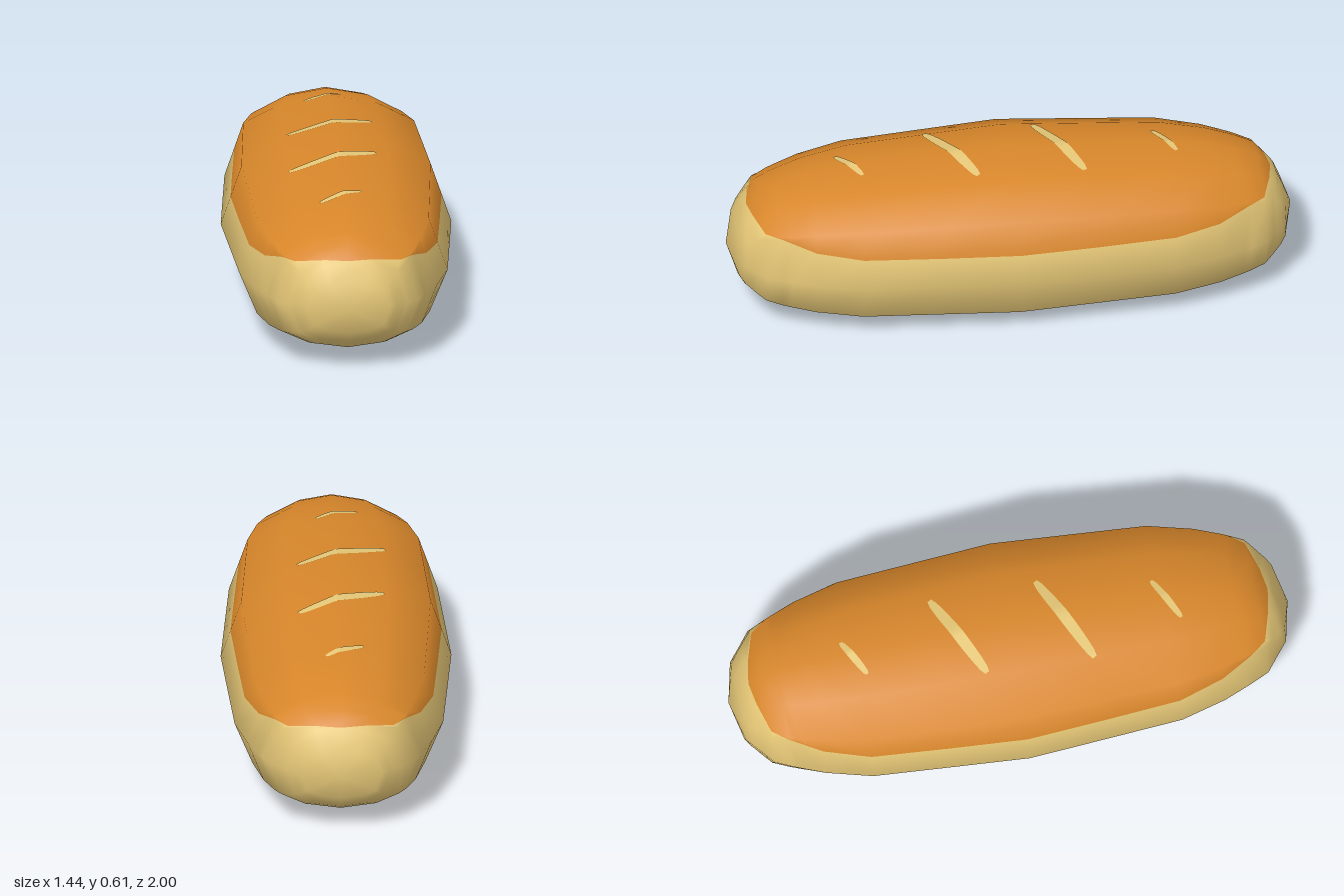
import * as THREE from 'three';

const COS = Math.cos(Math.PI / 6), SIN = 0.5, MID = 0.26;

// Stations along half the loaf: distance, half width, top, bottom, crust edge, base edge
const HALF = [
  [0, 0.445, 0.615, 0.003, 2.53, 4.22],
  [0.3, 0.424, 0.598, 0.009, 2.51, 4.26],
  [0.607, 0.402, 0.58, 0.015, 2.47, 4.36],
  [0.784, 0.354, 0.55, 0.03, 2.34, 4.65],
  [0.88, 0.315, 0.523, 0.046, 2.12, 5.1],
  [0.91, 0.302, 0.513, 0.052, 2.04, 6],
  [0.97, 0.274, 0.488, 0.07, 1.8, 6],
  [1.005, 0.23, 0.452, 0.092, 0.85, 6],
  [1.02, 0.211, 0.435, 0.104, 0, 6],
  [1.04, 0.187, 0.41, 0.12, 0, 6],
  [1.061, 0.161, 0.358, 0.155, 0, 6],
  [1.098, 0, MID, MID, 0, 6],
];
const STATIONS = [...HALF.slice(1).reverse().map(([u, ...r]) => [-u, ...r]), ...HALF];

// Half cross-section from the ridge, round the side, to the underside
const SECTION = [[0, 1], [0.45, 0.9], [0.82, 0.66], [1, 0], [0.83, -0.68], [0.5, -0.9], [0, -1]];

const lerp = THREE.MathUtils.lerp;

// Loaf lies diagonally: u runs along it, v across it
const place = (u, v, y) => [SIN * u + COS * v, y, -COS * u + SIN * v];

function sectionPoint([u, w, top, bottom], s, side) {
  const i = Math.min(5, Math.floor(s)), t = s - i;
  const a = lerp(SECTION[i][0], SECTION[i + 1][0], t);
  const b = lerp(SECTION[i][1], SECTION[i + 1][1], t);
  return place(u, side * a * w, MID + b * (b > 0 ? top - MID : MID - bottom));
}

// Rows follow the colour edges; the number of rows is the same at each station
function rows([, , , , e, f]) {
  return [0, Math.min(1, e), Math.min(2, e), e, Math.max(1, e), Math.max(2, e), 3,
    4, Math.min(5, f), f, Math.max(5, f), 6];
}

// Height of the top surface at a point near the ridge
function topHeight(x, z) {
  const u = Math.abs(SIN * x - COS * z), v = Math.abs(COS * x + SIN * z);
  const i = HALF.findIndex((h, k) => k > 0 && u <= h[0]);
  const t = (u - HALF[i - 1][0]) / (HALF[i][0] - HALF[i - 1][0]);
  const r = v / lerp(HALF[i - 1][1], HALF[i][1], t);
  const k = r < SECTION[1][0] ? 0 : 1;
  const [p, q] = [SECTION[k], SECTION[k + 1]];
  const b = lerp(p[1], q[1], (r - p[0]) / (q[0] - p[0]));
  return MID + b * (lerp(HALF[i - 1][2], HALF[i][2], t) - MID);
}

// Skin of the loaf, sharing smooth normals between its three coloured areas
function buildSkin() {
  const positions = [], lookup = new Map(), parts = { crust: [], body: [], base: [] };
  const vertex = (station, s, side) => {
    const p = sectionPoint(station, s, side);
    const key = p.map((c) => Math.round(c * 1e5)).join();
    if (!lookup.has(key)) {
      lookup.set(key, positions.length / 3);
      positions.push(...p);
    }
    return lookup.get(key);
  };
  const triangle = (list, a, b, c) => {
    if (a !== b && b !== c && a !== c) list.push(a, b, c);
  };
  for (const side of [1, -1]) {
    for (let i = 0; i < STATIONS.length - 1; i++) {
      const [r0, r1] = [rows(STATIONS[i]), rows(STATIONS[i + 1])];
      for (let j = 0; j < r0.length - 1; j++) {
        const list = j < 3 ? parts.crust : j < 9 ? parts.body : parts.base;
        const a = vertex(STATIONS[i], r0[j], side), b = vertex(STATIONS[i], r0[j + 1], side);
        const c = vertex(STATIONS[i + 1], r1[j + 1], side), d = vertex(STATIONS[i + 1], r1[j], side);
        if (side > 0) {
          triangle(list, a, b, d);
          triangle(list, b, c, d);
        } else {
          triangle(list, a, d, b);
          triangle(list, b, d, c);
        }
      }
    }
  }
  const whole = new THREE.BufferGeometry();
  whole.setAttribute('position', new THREE.Float32BufferAttribute(positions, 3));
  whole.setIndex([...parts.crust, ...parts.body, ...parts.base]);
  whole.computeVertexNormals();
  const result = {};
  for (const name in parts) {
    result[name] = new THREE.BufferGeometry();
    result[name].setAttribute('position', whole.attributes.position);
    result[name].setAttribute('normal', whole.attributes.normal);
    result[name].setIndex(parts[name]);
  }
  return result;
}

// Narrow tapered cut draped over the crust
function slashGeometry(cx, cz, length, width, slope) {
  const positions = [], index = [], n = 16;
  for (let i = 0; i <= n; i++) {
    const t = (i / n) * 2 - 1;
    const x = cx + (t * length) / 2, z = cz + t * slope;
    const half = (width / 2) * (0.4 + 0.6 * Math.sqrt(1 - t * t));
    for (const e of [-half, half]) positions.push(x, topHeight(x, z + e) + 0.003, z + e);
    if (i < n) {
      const k = i * 2;
      index.push(k, k + 1, k + 2, k + 1, k + 3, k + 2);
    }
  }
  const g = new THREE.BufferGeometry();
  g.setAttribute('position', new THREE.Float32BufferAttribute(positions, 3));
  g.setIndex(index);
  g.computeVertexNormals();
  return g;
}

export function createModel() {
  const material = (name, color) => {
    const m = new THREE.MeshStandardMaterial({ color });
    m.name = name;
    return m;
  };
  const bread = material('paleBread', 0xe4c676);
  const golden = material('goldenCrust', 0xd7862a);
  const mats = { crust: golden, body: bread, base: golden };

  const loaf = new THREE.Group();
  loaf.name = 'breadLoaf';
  const add = (name, geometry, mat) => {
    const mesh = new THREE.Mesh(geometry, mat);
    mesh.name = name;
    loaf.add(mesh);
  };

  // Crust, body and base
  const skin = buildSkin();
  for (const name in skin) add(name, skin[name], mats[name]);

  // Cuts across the top
  [
    [0.285, -0.54, 0.165, 0.028, 0.002],
    [0.085, -0.18, 0.37, 0.045, 0.012],
    [-0.13, 0.178, 0.38, 0.045, 0.012],
    [-0.32, 0.53, 0.185, 0.028, 0.002],
  ].forEach((s, i) => add(`slash${i + 1}`, slashGeometry(...s), bread));

  return loaf;
}
